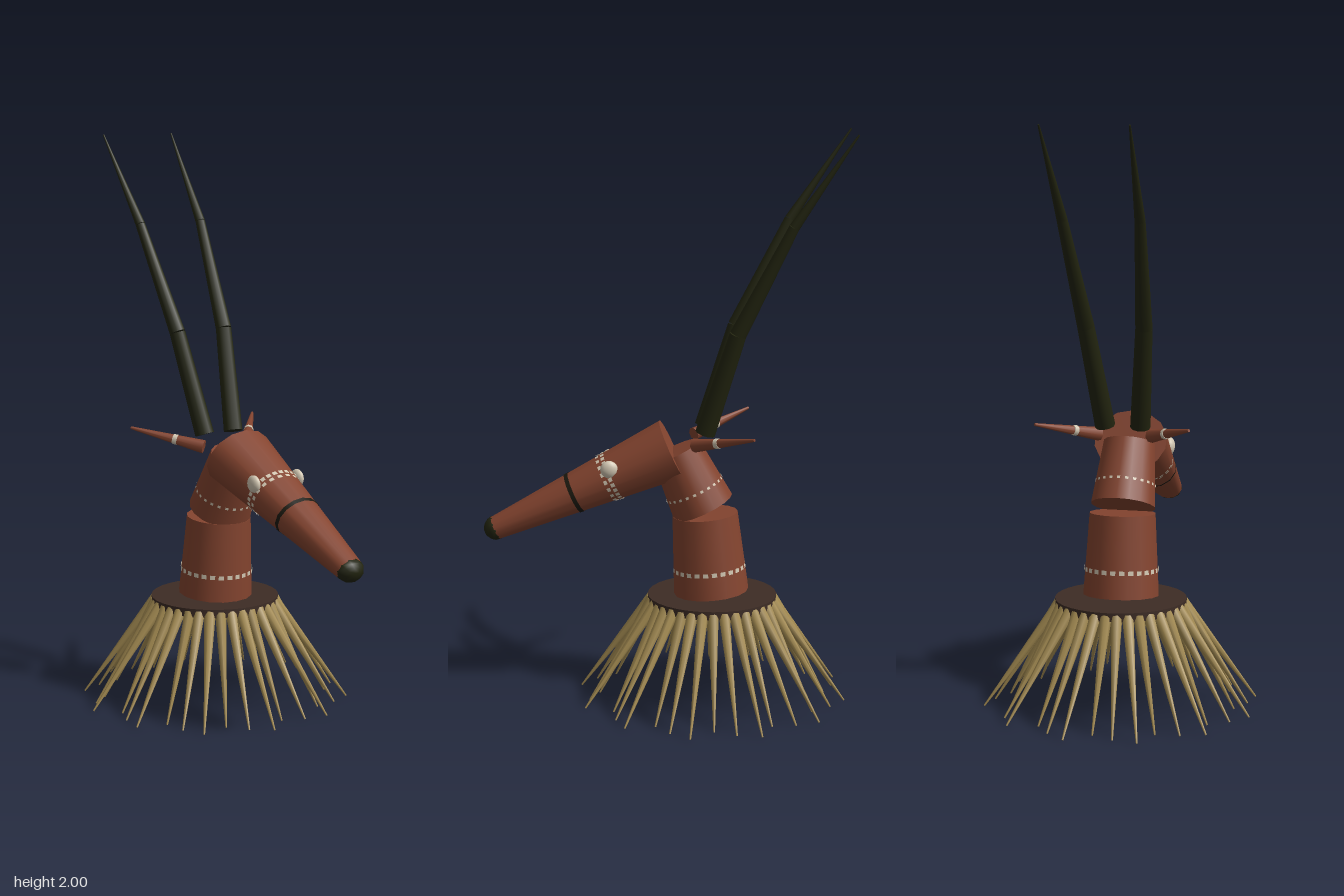
import * as THREE from 'three';

const mat = (name, color, side = THREE.FrontSide) => {
  const m = new THREE.MeshStandardMaterial({ color, side });
  m.name = name;
  return m;
};

export function createModel() {
  const model = new THREE.Group();
  const brown = mat('redBrown', 0x84442f);
  const horn = mat('hornBlack', 0x22240f);
  const cream = mat('cream', 0xd2c7b2, THREE.DoubleSide);
  const straw = mat('straw', 0xa58c52);
  const wood = mat('darkWood', 0x3d2c25);
  const black = mat('stripeBlack', 0x1c190f, THREE.DoubleSide);
  const V = (x, y, z) => new THREE.Vector3(x, y, z);
  const up = V(0, 1, 0);

  const add = (parent, name, geo, material) => {
    const m = new THREE.Mesh(geo, material);
    m.name = name;
    parent.add(m);
    return m;
  };

  // Tapered rod from a to b
  const rod = (name, a, b, ra, rb, sides, material) => {
    const d = b.clone().sub(a);
    const m = add(model, name, new THREE.CylinderGeometry(rb, ra, d.length(), sides), material);
    m.position.copy(a).addScaledVector(d, 0.5);
    m.quaternion.setFromUnitVectors(up, d.normalize());
    return m;
  };

  // Tapered body lying in the x = 0 plane; local y runs along its axis from its start
  const limb = (name, a, b, ra, rb, sides, depth = 1) => {
    const g = new THREE.Group();
    g.name = name;
    const d = b.clone().sub(a), len = d.length();
    g.position.copy(a);
    g.rotation.x = Math.atan2(d.z, d.y);
    g.scale.z = depth;
    model.add(g);
    add(g, name + 'Body', new THREE.CylinderGeometry(rb, ra, len, sides), brown).position.y = len / 2;
    // Painted ring, either whole or broken into dashes
    const band = (bandName, t, h, material, dashes = 0, fill = 0.5) => {
      const r = (y) => ra + (rb - ra) * y / len + 0.0025;
      const n = dashes || 1;
      for (let i = 0; i < n; i++) {
        const arc = dashes ? 2 * Math.PI / n * fill : 2 * Math.PI;
        const geo = new THREE.CylinderGeometry(r(t + h / 2), r(t - h / 2), h, dashes ? 1 : sides, 1, true,
          i * 2 * Math.PI / n - arc / 2, arc);
        add(g, bandName, geo, material).position.y = t;
      }
    };
    return { g, band, len };
  };

  // Collar disc
  const collar = add(model, 'collar', new THREE.CylinderGeometry(0.228, 0.228, 0.03, 32), wood);
  collar.position.set(0, 0.36, -0.163);

  // Straw fringe, three repeating lengths
  for (let i = 0; i < 36; i++) {
    const a = i * Math.PI / 18, r = [0.4, 0.44, 0.475][i % 3];
    const at = (q, y) => V(Math.cos(a) * q, y, -0.163 - Math.sin(a) * q);
    rod('fringeSpike', at(0.213, 0.358), at(r, 0.003), 0.02, 0.003, 7, straw);
  }

  // Neck
  const low = limb('lowerNeck', V(0, 0.385, -0.16), V(0, 0.667, -0.137), 0.132, 0.115, 16);
  low.band('lowerNeckDots', 0.09, 0.015, cream, 26, 0.6);
  const high = limb('upperNeck', V(0, 0.69, -0.13), V(0, 0.894, -0.035), 0.112, 0.09, 16);
  high.band('upperNeckDots', 0.075, 0.009, cream, 24, 0.4);

  // Head
  const head = limb('head', V(0, 0.9, -0.02), V(0, 0.615, 0.6), 0.13, 0.05, 14, 0.84);
  head.band('browDots', 0.23, 0.014, cream, 26, 0.65);
  head.band('browDotsLower', 0.25, 0.012, cream, 19, 0.5);
  head.band('muzzleStripe', 0.376, 0.015, black);
  const nose = add(head.g, 'nose', new THREE.SphereGeometry(0.051, 10, 8), horn);
  nose.position.y = head.len;
  nose.scale.y = 0.82;

  for (const s of [1, -1]) {
    // Eye
    const eye = add(model, 'eye', new THREE.SphereGeometry(0.031, 12, 10), cream);
    eye.position.set(s * 0.093, 0.847, 0.197);
    eye.scale.x = 0.55;

    // Horn in three straight segments
    const pts = [V(s * 0.062, 0.968, -0.135), V(s * 0.1, 1.32, -0.245), V(s * 0.13, 1.69, -0.43), V(s * 0.147, 2, -0.64)];
    const rad = [0.035, 0.029, 0.018, 0.003];
    for (let i = 0; i < 3; i++) rod('hornSegment', pts[i], pts[i + 1], rad[i], rad[i + 1], 10, horn);

    // Ear with a pale ring
    const e0 = V(s * 0.092, 0.932, -0.098), e1 = V(s * 0.266, 0.99, -0.297);
    rod('ear', e0, e1, 0.024, 0.005, 8, brown);
    const p = (t) => e0.clone().lerp(e1, t);
    rod('earRing', p(0.36), p(0.42), 0.0185, 0.0175, 8, cream);
  }
  return model;
}
